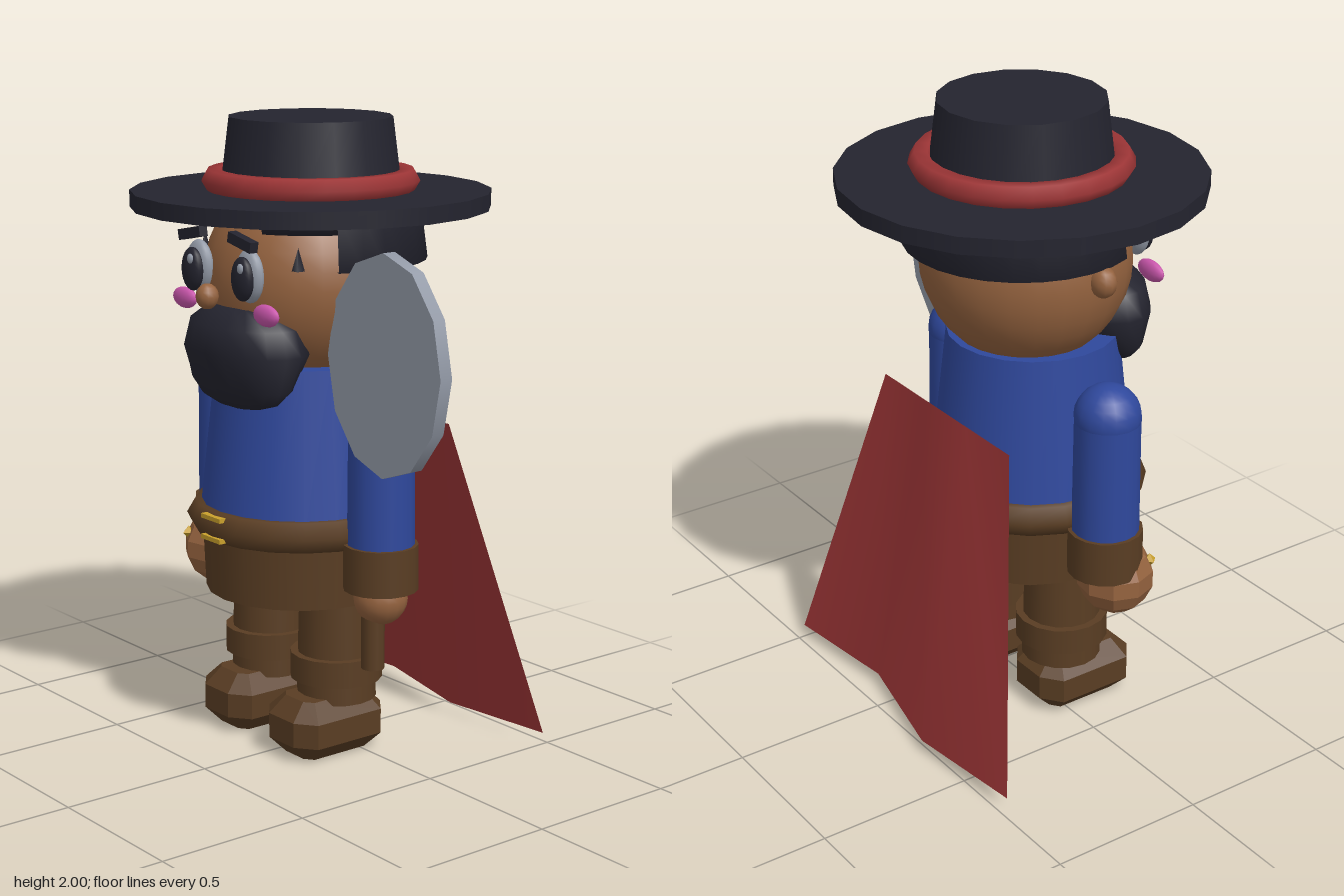
import * as THREE from 'three';

const mat = (name, color, extra = {}) => {
  const m = new THREE.MeshStandardMaterial({ color, side: THREE.DoubleSide, ...extra });
  m.name = name;
  return m;
};

export function createModel() {
  const black = mat('black', 0x24242f), red = mat('red', 0x9c3536), blue = mat('blue', 0x2f489c);
  const brown = mat('brown', 0x593d23), skin = mat('skin', 0x95633f), steel = mat('steel', 0x949ba8);
  const pink = mat('pink', 0xcb57ad), gold = mat('gold', 0xc9a02c);

  const model = new THREE.Group();
  model.name = 'cloakedFigure';
  const body = new THREE.Group();
  body.name = 'body';
  body.position.x = -0.095;
  model.add(body);

  const add = (name, geo, material, x, y, z, parent = body) => {
    const m = new THREE.Mesh(geo, material);
    m.name = name;
    m.position.set(x, y, z);
    parent.add(m);
    return m;
  };
  // upright cylinder from y0 to y1
  const column = (name, rTop, rBottom, y0, y1, material, x = 0, z = 0.037, sides = 16) =>
    add(name, new THREE.CylinderGeometry(rTop, rBottom, y1 - y0, sides), material, x, (y0 + y1) / 2, z);
  const ball = (name, rx, ry, rz, material, x, y, z, w = 16, h = 12) => {
    const m = add(name, new THREE.SphereGeometry(1, w, h), material, x, y, z);
    m.scale.set(rx, ry, rz);
    return m;
  };
  const ring = (name, R, tube, sides, segs, material, y, z) => {
    const g = new THREE.TorusGeometry(R, tube, sides, segs);
    g.rotateX(Math.PI / 2);
    return add(name, g, material, 0, y, z);
  };
  const lathe = (pts, segs, start = 0, len = Math.PI * 2) =>
    new THREE.LatheGeometry(pts.map(p => new THREE.Vector2(...p)), segs, start, len);

  // Hat
  column('hatBrim', 0.565, 0.565, 1.72, 1.773, black, 0, 0, 20);
  column('hatCrown', 0.257, 0.287, 1.76, 2, black, 0, 0, 16);
  ring('hatBand', 0.302, 0.04, 6, 24, red, 1.803, 0);

  // Head and hair
  ball('head', 0.335, 0.335, 0.325, skin, 0, 1.5, 0.015, 24, 18);
  add('backHair', lathe([[0.28, 1.56], [0.362, 1.56], [0.34, 1.73]], 18, Math.PI * 0.36, Math.PI * 1.28), black, 0, 0, -0.005);
  for (const s of [-1, 1]) {
    const start = s > 0 ? 0.14 : -0.38;
    add('frontHair', lathe([[0.25, 1.69], [0.325, 1.67], [0.335, 1.73]], 5, Math.PI * start, Math.PI * 0.24), black, 0, 0, 0);
    const lock = add('hairLock', new THREE.ConeGeometry(0.02, 0.07, 4), black, s * 0.24, 1.6, 0.235);
    lock.rotation.y = s * 0.8;
    ball('ear', 0.05, 0.05, 0.04, skin, s * 0.34, 1.515, 0.05, 12, 8);
    ball('eye', 0.062, 0.083, 0.03, steel, s * 0.13, 1.547, 0.335);
    ball('pupil', 0.049, 0.068, 0.025, black, s * 0.13, 1.54, 0.362);
    ball('eyeGlint', 0.013, 0.016, 0.008, steel, s * 0.13 + 0.016, 1.575, 0.382, 8, 6);
    add('eyebrow', new THREE.BoxGeometry(0.115, 0.033, 0.03), black, s * 0.13, 1.652, 0.36).rotation.z = -s * 0.2;
    ball('cheek', 0.06, 0.034, 0.02, pink, s * 0.212, 1.437, 0.335, 14, 8);
  }
  ball('nose', 0.036, 0.04, 0.036, skin, 0, 1.475, 0.4, 12, 8);

  // Beard: flattened bowl whose lower end is drawn forward
  const beardGeo = lathe([[0, 1.115], [0.1, 1.12], [0.18, 1.145], [0.225, 1.19], [0.25, 1.3],
    [0.225, 1.38], [0.14, 1.435], [0, 1.445]], 18);
  const bp = beardGeo.attributes.position;
  for (let i = 0; i < bp.count; i++) {
    const t = Math.max(0, (1.3 - bp.getY(i)) / 0.18);
    bp.setZ(i, bp.getZ(i) * (0.64 - 0.3 * t) + 0.255 + 0.03 * t);
  }
  beardGeo.computeVertexNormals();
  add('beard', beardGeo, black, 0, 0, 0);

  // Torso, belt and trousers
  column('tunic', 0.268, 0.323, 0.74, 1.25, blue, 0, 0.042, 20);
  ring('belt', 0.312, 0.055, 6, 20, brown, 0.742, 0.04);
  for (const y of [0.708, 0.775])
    add('buckleBar', new THREE.BoxGeometry(0.1, 0.014, 0.03), gold, 0, y, 0.385);
  column('trousers', 0.318, 0.308, 0.5, 0.74, brown, 0, 0.04, 20);

  // Shoe: octagonal outline with bevelled top and bottom
  const sole = new THREE.Shape([[0.075, 0.1], [0.075, -0.1], [0.045, -0.123], [-0.045, -0.123],
    [-0.075, -0.1], [-0.075, 0.1], [-0.045, 0.123], [0.045, 0.123]].map(p => new THREE.Vector2(...p)));
  const shoeGeo = new THREE.ExtrudeGeometry(sole, { depth: 0.08, bevelThickness: 0.055, bevelSize: 0.053, bevelSegments: 1 });
  shoeGeo.rotateX(-Math.PI / 2);

  // Legs and arms
  for (const s of [-1, 1]) {
    const lx = s * 0.175, ax = s * 0.395;
    column('leg', 0.118, 0.128, 0.17, 0.52, brown, lx);
    column('bootCuff', 0.148, 0.148, 0.235, 0.32, brown, lx);
    add('shoe', shoeGeo, brown, lx, 0.055, 0.083);
    column('arm', 0.102, 0.105, 0.7, 1.1, blue, ax);
    ball('shoulder', 0.104, 0.104, 0.104, blue, ax, 1.1, 0.037);
    column('sleeveCuff', 0.117, 0.117, 0.575, 0.72, brown, ax);
  }
  ball('leftHand', 0.085, 0.085, 0.085, skin, 0.395, 0.545, 0.037);

  // Large right fist with gold studs
  const fistSkin = ball('rightFist', 0.122, 0.122, 0.122, skin, -0.402, 0.542, 0.075, 9, 7);
  fistSkin.geometry = fistSkin.geometry.toNonIndexed();
  fistSkin.geometry.computeVertexNormals();
  for (const x of [-0.06, 0.06])
    add('stud', new THREE.OctahedronGeometry(0.022), gold, -0.398 + x, 0.59, 0.165);

  // Long-handled disc weapon
  column('weaponHandle', 0.037, 0.037, 0.32, 1.53, brown, 0.39, 0.063, 10);
  column('weaponCollar', 0.055, 0.055, 1.21, 1.39, black, 0.39, 0.063, 8);
  const disc = new THREE.CylinderGeometry(1, 1, 0.044, 12);
  disc.rotateX(Math.PI / 2);
  add('weaponDisc', disc, steel, 0.525, 1.305, 0.12).scale.set(0.26, 0.34, 1);

  // Cape: straight top edge flaring to a waved hem
  const hem = [-0.475, -0.52, -0.43, -0.475];
  const capeGeo = new THREE.PlaneGeometry(1, 1, 3, 1);
  const cp = capeGeo.attributes.position;
  for (let i = 0; i < cp.count; i++) {
    const top = cp.getY(i) > 0;
    cp.setXYZ(i, cp.getX(i) * (top ? 0.68 : 1.2), top ? 1.04 : 0.04, top ? -0.285 : hem[i % 4]);
  }
  capeGeo.computeVertexNormals();
  add('cape', capeGeo, red, 0, 0, 0);

  return model;
}
